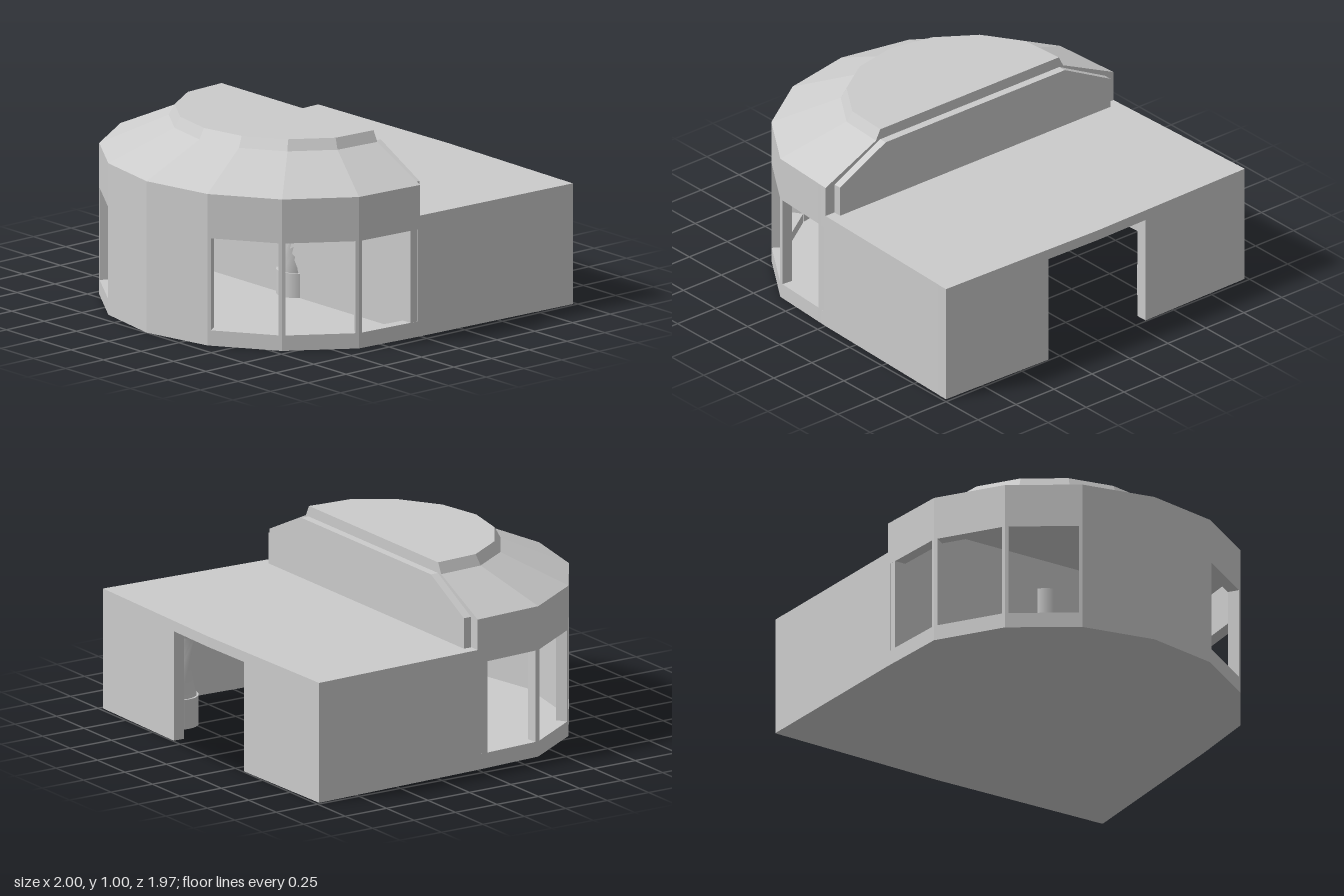
import * as THREE from 'three';

const grey = new THREE.MeshStandardMaterial({ color: 0xcccccc, flatShading: true });
const smooth = new THREE.MeshStandardMaterial({ color: 0xcccccc, side: THREE.DoubleSide });

const WALL = 0.06, HALL_H = 0.79, WING_H = 0.63;
// plan outlines as [x, z]; the half-round hall and the flared wing
const quarter = [[-1, 0], [-0.925, 0.383], [-0.708, 0.707], [-0.383, 0.922], [0, 0.948]];
const mirrored = quarter.slice(1).reverse().map(([x, z]) => [x, -z]);
const hallPlan = [...mirrored, ...quarter];
const wingPlan = [[0, 0.948], [0.98, 0.984], [1, 0], [0.98, -0.984], [0, -0.948]];

function add(parent, name, geometry, material = grey) {
  const mesh = new THREE.Mesh(geometry, material);
  mesh.name = name;
  parent.add(mesh);
  return mesh;
}

const toShape = (pts) => new THREE.Shape(pts.map(([x, y]) => new THREE.Vector2(x, y)));

// horizontal slab over a plan outline
function slab(plan, y, thickness) {
  const g = new THREE.ExtrudeGeometry(toShape(plan.map(([x, z]) => [x, -z])),
    { depth: thickness, bevelEnabled: false });
  return g.rotateX(-Math.PI / 2).translate(0, y, 0);
}

// upright wall from a to b, thickened inward, with mitred ends
function wall(a, b, outline, hole, mitre) {
  const length = Math.hypot(b[0] - a[0], b[1] - a[1]);
  const shape = toShape(outline(length));
  if (hole) shape.holes.push(toShape(hole(length)));
  const g = new THREE.ExtrudeGeometry(shape, { depth: WALL, bevelEnabled: false });
  g.translate(0, 0, -WALL);
  const p = g.attributes.position;
  for (let i = 0; i < p.count; i++) {
    if (p.getZ(i) > -0.01) continue;
    if (p.getX(i) < 1e-4) p.setX(i, mitre);
    else if (p.getX(i) > length - 1e-4) p.setX(i, length - mitre);
  }
  const x = new THREE.Vector3(b[0] - a[0], 0, b[1] - a[1]).normalize();
  const y = new THREE.Vector3(0, 1, 0);
  const m = new THREE.Matrix4().makeBasis(x, y, new THREE.Vector3().crossVectors(x, y));
  m.setPosition(a[0], 0, a[1]);
  return g.applyMatrix4(m);
}

const rect = (x0, y0, x1, y1) => [[x0, y0], [x1, y0], [x1, y1], [x0, y1]];

// stepped roof: scaled copies of the hall outline joined in rings
function roofGeometry() {
  const rings = [[1, HALL_H], [0.65, 0.945], [0.62, 1]].map(([s, y]) =>
    hallPlan.map(([x, z]) => [x * s, y, z * s]));
  const v = [], n = hallPlan.length;
  const tri = (...pts) => pts.forEach((p) => v.push(...p));
  for (let i = 0; i < n; i++) {
    const j = (i + 1) % n;
    for (let r = 0; r < 2; r++) {
      const [a, b, c, d] = [rings[r][i], rings[r][j], rings[r + 1][j], rings[r + 1][i]];
      tri(a, b, c);
      tri(a, c, d);
    }
    tri([0, 1, 0], rings[2][i], rings[2][j]);
    tri([0, HALL_H, 0], rings[0][j], rings[0][i]);
  }
  const g = new THREE.BufferGeometry();
  g.setAttribute('position', new THREE.Float32BufferAttribute(v, 3));
  g.computeVertexNormals();
  return g;
}

// pillar with a twisted, waisted shaft
function pillar(x, z) {
  const group = new THREE.Group();
  group.name = 'pillar';
  add(group, 'pillarBase', new THREE.CylinderGeometry(0.108, 0.108, 0.155, 32).translate(0, 0.08, 0), smooth);
  add(group, 'pillarCapital', new THREE.CylinderGeometry(0.108, 0.108, 0.145, 32).translate(0, 0.552, 0), smooth);
  const shaft = new THREE.CylinderGeometry(0.1, 0.1, 0.33, 16, 1, true).translate(0, 0.32, 0);
  const p = shaft.attributes.position, q = new THREE.Vector3(), up = new THREE.Vector3(0, 1, 0);
  for (let i = 0; i < p.count; i++) {
    q.fromBufferAttribute(p, i);
    if (q.y > 0.32) q.applyAxisAngle(up, Math.PI / 2);
    p.setXYZ(i, q.x, q.y, q.z);
  }
  shaft.computeVertexNormals();
  add(group, 'pillarShaft', shaft, smooth);
  group.position.set(x, 0, z);
  return group;
}

export function createModel() {
  const model = new THREE.Group();
  model.name = 'building';

  // hall walls: three windows on each side, two blank facets at the end
  for (let i = 0; i < hallPlan.length - 1; i++) {
    const windowed = i < 3 || i > 4;
    add(model, windowed ? 'windowWall' : 'endWall', wall(hallPlan[i], hallPlan[i + 1],
      (l) => rect(0, 0, l, HALL_H),
      windowed && ((l) => rect(0.018, 0.08, l - 0.018, 0.56)), WALL * Math.tan(0.287)));
  }
  add(model, 'hallFloor', slab(hallPlan, 0, 0.03));
  add(model, 'hallRoof', roofGeometry());

  // wall between the hall and the wing
  add(model, 'partition', new THREE.BoxGeometry(0.06, HALL_H, 1.89).translate(-0.03, HALL_H / 2, 0));

  // raised gable slab standing on the wing roof
  const gable = [[-0.89, WING_H], [0.89, WING_H], [0.89, 0.79], [0.59, 0.945], [-0.59, 0.945], [-0.89, 0.79]];
  add(model, 'gableSlab', new THREE.ExtrudeGeometry(toShape(gable), { depth: 0.043, bevelEnabled: false })
    .rotateY(Math.PI / 2).translate(0.002, 0, 0));

  // wing side walls, and two end walls that share the doorway
  add(model, 'wingSideWall', wall(wingPlan[0], wingPlan[1], (l) => rect(0, 0, l, WING_H), null, 0));
  add(model, 'wingSideWall', wall(wingPlan[3], wingPlan[4], (l) => rect(0, 0, l, WING_H), null, 0));
  const D = 0.32, T = 0.575;
  add(model, 'doorWall', wall(wingPlan[1], wingPlan[2],
    (l) => [[0, 0], [l - D, 0], [l - D, T], [l, T], [l, WING_H], [0, WING_H]], null, 0));
  add(model, 'doorWall', wall(wingPlan[2], wingPlan[3],
    (l) => [[0, T], [D, T], [D, 0], [l, 0], [l, WING_H], [0, WING_H]], null, 0));

  // wing roof, and an underside that faces down only
  add(model, 'wingRoof', slab(wingPlan, T, WING_H - T));
  add(model, 'wingUnderside', new THREE.ShapeGeometry(toShape(wingPlan)).rotateX(Math.PI / 2));

  // pillars: one in the partition, one either side of the doorway
  for (const [x, z] of [[0, 0], [0.82, 0.55], [0.82, -0.55]]) model.add(pillar(x, z));
  return model;
}
